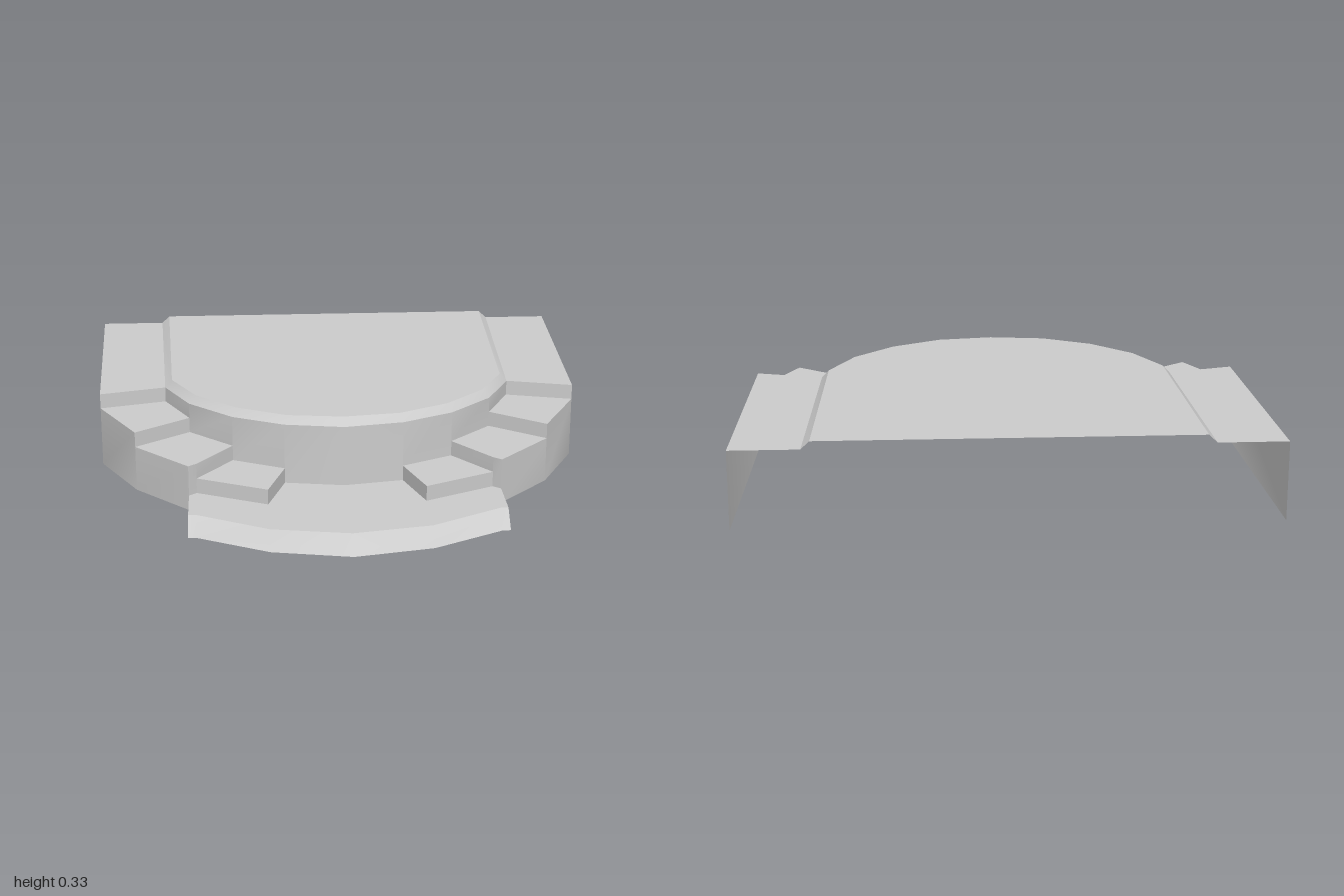
import * as THREE from 'three';
import { toCreasedNormals } from 'three/addons/utils/BufferGeometryUtils.js';

const BACK = -0.98;

// Plan outlines of the +x half as [x, z], from the centre front to the back
const rim = [[0, 0.44], [0.23, 0.4], [0.43, 0.3], [0.6, 0.135], [0.7, -0.07], [0.74, BACK]];
const deck = [[0, 0.405], [0.22, 0.375], [0.415, 0.275], [0.573, 0.12], [0.672, -0.075], [0.708, BACK]];
const outer = [[0.6, 0.51], [0.81, 0.29], [0.96, 0], [1, BACK]];
const lowStep = [[0.3, 0.615], [0.57, 0.485]];
const lipTop = [[0, 0.905], [0.3, 0.85], [0.57, 0.7], [0.6, 0.7]];
const lipFoot = [[0, 0.98], [0.3, 0.92], [0.57, 0.775], [0.6, 0.775]];

// Levels: base slab, three steps, side terrace, bevelled deck
const [SLAB, STEP1, STEP2, STEP3, TERRACE, TOP] = [0.06, 0.12, 0.18, 0.24, 0.3, 0.33];

export function createModel() {
  const model = new THREE.Group();
  const material = new THREE.MeshStandardMaterial({ color: 0xcccccc, side: THREE.DoubleSide });

  const add = (name, geometry) => {
    const mesh = new THREE.Mesh(geometry, material);
    mesh.name = name;
    model.add(mesh);
  };
  const flip = ([x, ...rest]) => [-x, ...rest];

  // Horizontal face from a plan outline
  const flat = (name, outline, y) => {
    const shape = new THREE.Shape(outline.map(([x, z]) => new THREE.Vector2(x, -z)));
    add(name, new THREE.ShapeGeometry(shape).rotateX(-Math.PI / 2).translate(0, y, 0));
  };
  // Face crossing the centre line, outlined by its +x half
  const flatWhole = (name, half, y) =>
    flat(name, [...half, ...half.map(flip).reverse()], y);
  const flatPair = (name, outline, y) => {
    flat(name + 'Left', outline, y);
    flat(name + 'Right', outline.map(flip), y);
  };

  // Quads of the +x half together with their mirror images
  const skin = (name, quads) => {
    const all = [...quads, ...quads.map(q => q.map(flip).reverse())];
    const points = all.flatMap(([a, b, c, d]) => [a, b, c, a, c, d]).flat();
    const geometry = new THREE.BufferGeometry();
    geometry.setAttribute('position', new THREE.Float32BufferAttribute(points, 3));
    add(name, toCreasedNormals(geometry, 0.65));
  };
  const quad = (a, b, low, high, c = b, d = a) => [
    [a[0], low, a[1]], [b[0], low, b[1]], [c[0], high, c[1]], [d[0], high, d[1]]];

  // Raised deck, its bevel and the wall below it
  flatWhole('deck', deck, TOP);
  skin('deckBevel', rim.slice(1).map((p, i) =>
    quad(rim[i], p, TERRACE, TOP, deck[i + 1], deck[i])));
  skin('innerWall', [SLAB, STEP1, STEP2, STEP3].map((y, i) =>
    quad(rim[i], rim[i + 1], y, TERRACE)));

  // Side terraces and the steps descending from them
  flatPair('terrace', [rim[4], rim[5], outer[3], outer[2]], TERRACE);
  flatPair('upperStep', [rim[3], rim[4], outer[2], outer[1]], STEP3);
  flatPair('middleStep', [rim[2], rim[3], outer[1], outer[0], lowStep[1]], STEP2);
  flatPair('lowerStep', [rim[1], rim[2], lowStep[1], lowStep[0]], STEP1);
  skin('stepRisers', [
    quad(rim[4], outer[2], STEP3, TERRACE),
    quad(rim[3], outer[1], STEP2, STEP3),
    quad(rim[2], lowStep[1], STEP1, STEP2),
    quad(lowStep[1], outer[0], SLAB, STEP2),
    quad(rim[1], lowStep[0], SLAB, STEP1),
    quad(lowStep[0], lowStep[1], SLAB, STEP1),
  ]);
  skin('outerWall', [STEP2, STEP3, TERRACE].map((y, i) => quad(outer[i], outer[i + 1], 0, y)));

  // Front slab with a sloping lip and closed ends
  flatWhole('frontSlab', [...lipTop, outer[0], lowStep[1], lowStep[0], rim[1], rim[0]], SLAB);
  skin('frontLip', lipTop.slice(1).map((p, i) =>
    quad(lipFoot[i], lipFoot[i + 1], 0, SLAB, p, lipTop[i])));
  skin('slabEnds', [quad(lipFoot[3], outer[0], 0, SLAB, outer[0], lipTop[3])]);

  return model;
}
